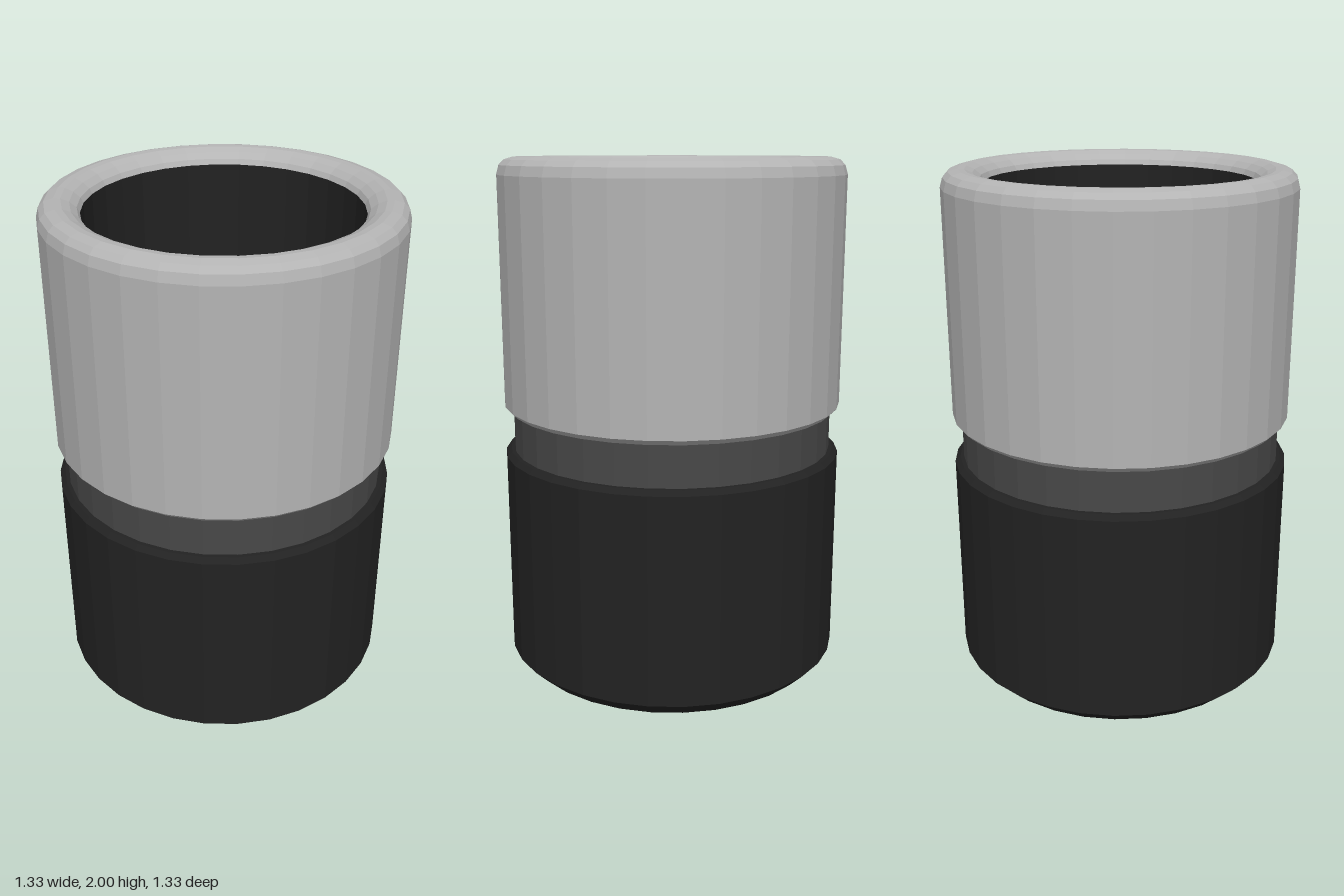
import * as THREE from 'three';

const SIDES = 32;

function material(name, color, doubleSided = false) {
  const m = new THREE.MeshStandardMaterial({ color, flatShading: true });
  m.name = name;
  if (doubleSided) m.side = THREE.DoubleSide;
  return m;
}

// Faceted ring or cup turned from [radius, height] points, listed bottom to top on the outside
function turned(name, points, mat) {
  const profile = points.map(([r, y]) => new THREE.Vector2(r, y));
  const mesh = new THREE.Mesh(new THREE.LatheGeometry(profile, SIDES), mat);
  mesh.name = name;
  return mesh;
}

export function createModel() {
  const group = new THREE.Group();
  group.name = 'cup';

  const silver = material('silver', 0xb4b4b4);
  const charcoal = material('charcoal', 0x484848);
  const black = material('black', 0x222222);

  // Chamfered lower body with a closed base
  group.add(turned('lowerBody', [
    [0, 0], [0.61, 0], [0.665, 0.055], [0.665, 0.86], [0.645, 0.878], [0.62, 0.878],
  ], black));

  // Recessed band between the two halves
  group.add(turned('neckBand', [[0.63, 0.87], [0.63, 1.05]], charcoal));

  // Upper sleeve with a rounded rim that rolls into the opening
  group.add(turned('upperSleeve', [
    [0.62, 1.04], [0.645, 1.04], [0.665, 1.06], [0.665, 1.935], [0.655, 1.97],
    [0.635, 1.99], [0.6, 2], [0.575, 1.998], [0.545, 1.985], [0.52, 1.965], [0.51, 1.945],
  ], silver));

  // Deep inner liner with a rounded floor
  group.add(turned('innerLiner', [
    [0.51, 1.945], [0.51, 0.32], [0.475, 0.22], [0.39, 0.14], [0.265, 0.1], [0, 0.09],
  ], black));

  return group;
}
